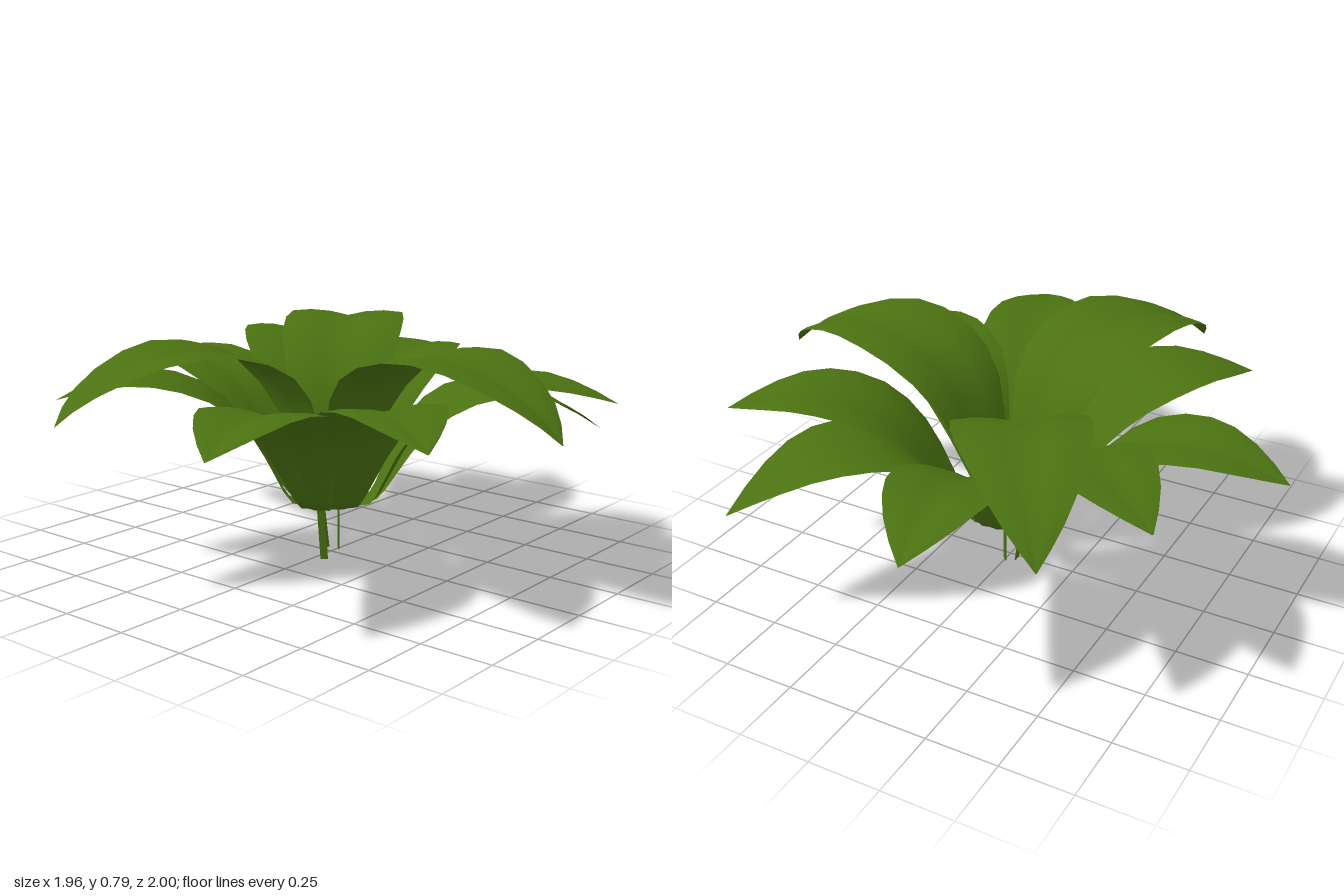
import * as THREE from 'three';

// Leaf profiles: [distance from centre, height, half width]
const upper = [[0.01, 0.185, 0.015], [0.06, 0.21, 0.045], [0.09, 0.33, 0.08], [0.13, 0.47, 0.13], [0.2, 0.605, 0.18],
  [0.3, 0.7, 0.21], [0.43, 0.75, 0.222], [0.57, 0.768, 0.212], [0.71, 0.745, 0.172], [0.85, 0.69, 0.115], [0.94, 0.635, 0.058], [1, 0.575, 0.002]];
const middle = [[0.01, 0.185, 0.015], [0.14, 0.188, 0.045], [0.185, 0.235, 0.068], [0.25, 0.36, 0.11], [0.335, 0.48, 0.155],
  [0.45, 0.575, 0.188], [0.6, 0.63, 0.192], [0.74, 0.643, 0.158], [0.88, 0.62, 0.09], [1, 0.585, 0.002]];
const drooping = [[0.01, 0.185, 0.015], [0.14, 0.188, 0.045], [0.185, 0.235, 0.068], [0.25, 0.35, 0.11], [0.335, 0.46, 0.155],
  [0.45, 0.535, 0.188], [0.59, 0.562, 0.192], [0.73, 0.545, 0.158], [0.87, 0.485, 0.09], [1, 0.405, 0.002]];
const raised = middle.map(([r, y, w]) => [r, y + 0.06 * Math.min(1, r * 1.5), w]);

// Tip position of each leaf on the ground plane, and its profile
const leaves = [
  [-0.15, 1.0, upper], [0.81, -0.52, upper], [-0.94, -0.34, upper],
  [0.02, -1.0, middle], [0.98, -0.17, middle], [-0.98, 0.35, middle],
  [0.44, 0.87, middle], [-0.52, 0.78, middle], [-0.7, -0.62, middle],
  [0.57, -0.77, raised], [0.78, 0.63, drooping],
];

// Sweeps a gull-wing cross-section along an arching profile, pointing to +z
function leafGeometry(profile, length) {
  const curve = new THREE.CatmullRomCurve3(profile.map(([r, y, w]) => new THREE.Vector3(w, y, r * length)));
  const rows = 14, cols = 6, pos = [], index = [];
  for (let i = 0; i <= rows; i++) {
    const p = curve.getPoint(i / rows);
    const t = curve.getTangent(i / rows);
    const m = Math.hypot(t.y, t.z);
    for (let j = 0; j <= cols; j++) {
      const s = (j / cols) * 2 - 1;
      // Grooved midrib, with the outer edges levelling off
      const lift = p.x * (0.3 * Math.abs(s) - 0.23 * s * s);
      pos.push(s * p.x, p.y + (lift * t.z) / m, p.z - (lift * t.y) / m);
      if (i < rows && j < cols) {
        const a = i * (cols + 1) + j, b = a + cols + 1;
        index.push(a, b, a + 1, b, b + 1, a + 1);
      }
    }
  }
  const g = new THREE.BufferGeometry();
  g.setAttribute('position', new THREE.Float32BufferAttribute(pos, 3));
  g.setIndex(index);
  g.computeVertexNormals();
  return g;
}

export function createModel() {
  const group = new THREE.Group();
  const green = new THREE.MeshStandardMaterial({ color: 0x4b7211, side: THREE.DoubleSide });
  green.name = 'leaf green';

  // Rosette of leaves in tiers
  for (const [x, z, profile] of leaves) {
    const leaf = new THREE.Mesh(leafGeometry(profile, Math.hypot(x, z)), green);
    leaf.rotation.y = Math.atan2(x, z);
    leaf.name = 'leaf';
    group.add(leaf);
  }

  // Thin strip-like stems under the rosette: [x, z, turn, lean along x, lean along z]
  const stems = [[-0.094, 0.038, -Math.PI / 3, 0.1, 0], [0.02, -0.05, 0, 0, -0.14], [0.042, 0.0, Math.PI / 4, 0, 0]];
  for (const [x, z, turn, leanX, leanZ] of stems) {
    const geometry = new THREE.BoxGeometry(0.026, 0.2, 0.004).rotateY(turn);
    const stem = new THREE.Mesh(geometry, green);
    stem.position.set(x, 0.102, z);
    stem.rotation.set(leanZ, 0, leanX);
    stem.name = 'stem';
    group.add(stem);
  }
  return group;
}
